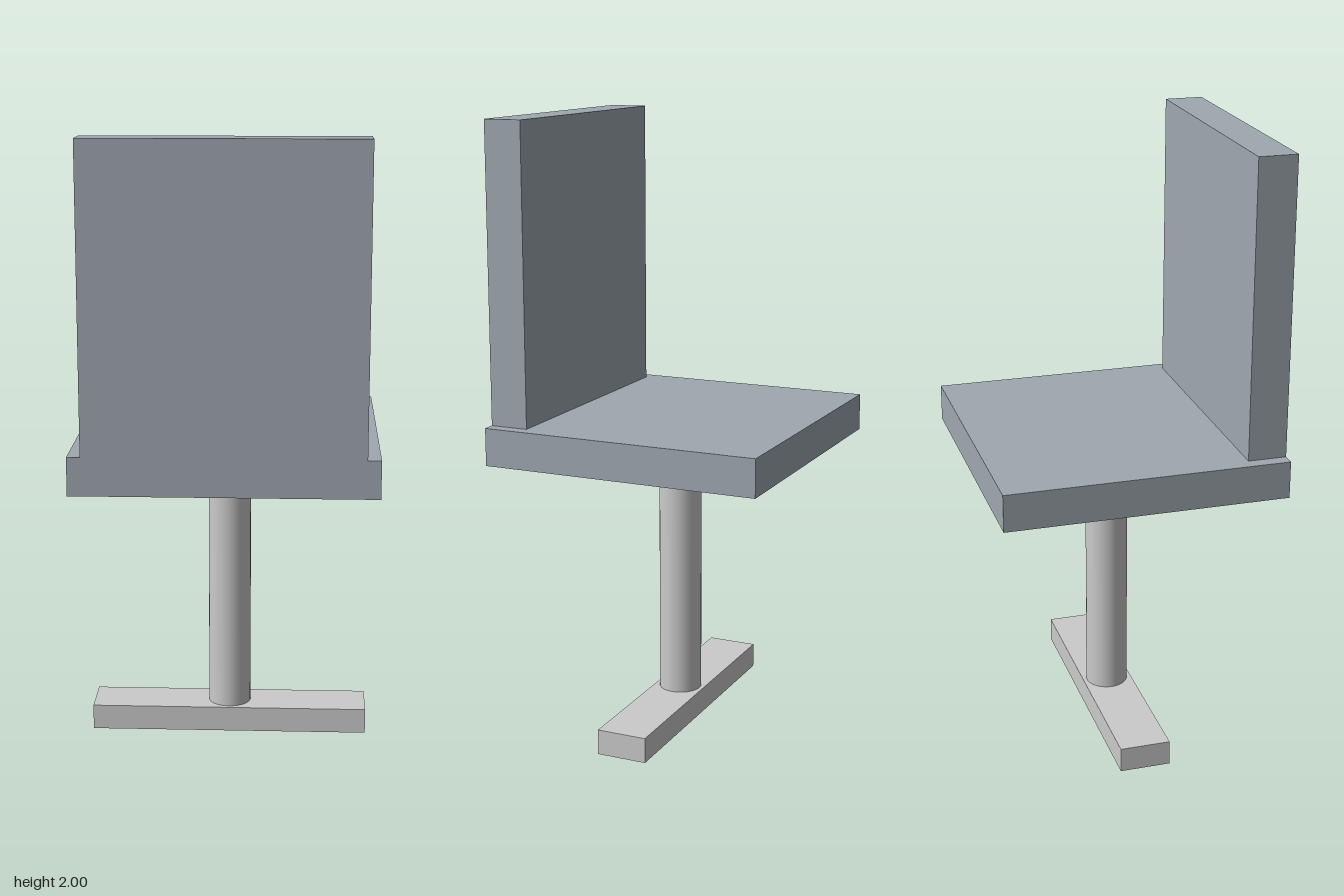
import * as THREE from 'three';

export function createModel() {
  const group = new THREE.Group();
  const metal = new THREE.MeshStandardMaterial({ color: 0xcccccc });
  const padding = new THREE.MeshStandardMaterial({ color: 0xa0a8b0 });

  const add = (name, geometry, material, x, y, z) => {
    const mesh = new THREE.Mesh(geometry, material);
    mesh.name = name;
    mesh.position.set(x, y, z);
    group.add(mesh);
  };

  // Foot bar and round post
  add('footBar', new THREE.BoxGeometry(0.916, 0.083, 0.166), metal, 0, 0.0415, 0);
  add('post', new THREE.CylinderGeometry(0.07, 0.07, 0.837, 32), metal, 0, 0.5015, 0);

  // Seat slab with the backrest standing flush on its +z edge
  add('seat', new THREE.BoxGeometry(0.958, 0.122, 0.916), padding, 0, 0.981, 0);
  add('backrest', new THREE.BoxGeometry(0.874, 0.958, 0.125), padding, 0, 1.521, 0.3955);

  return group;
}
